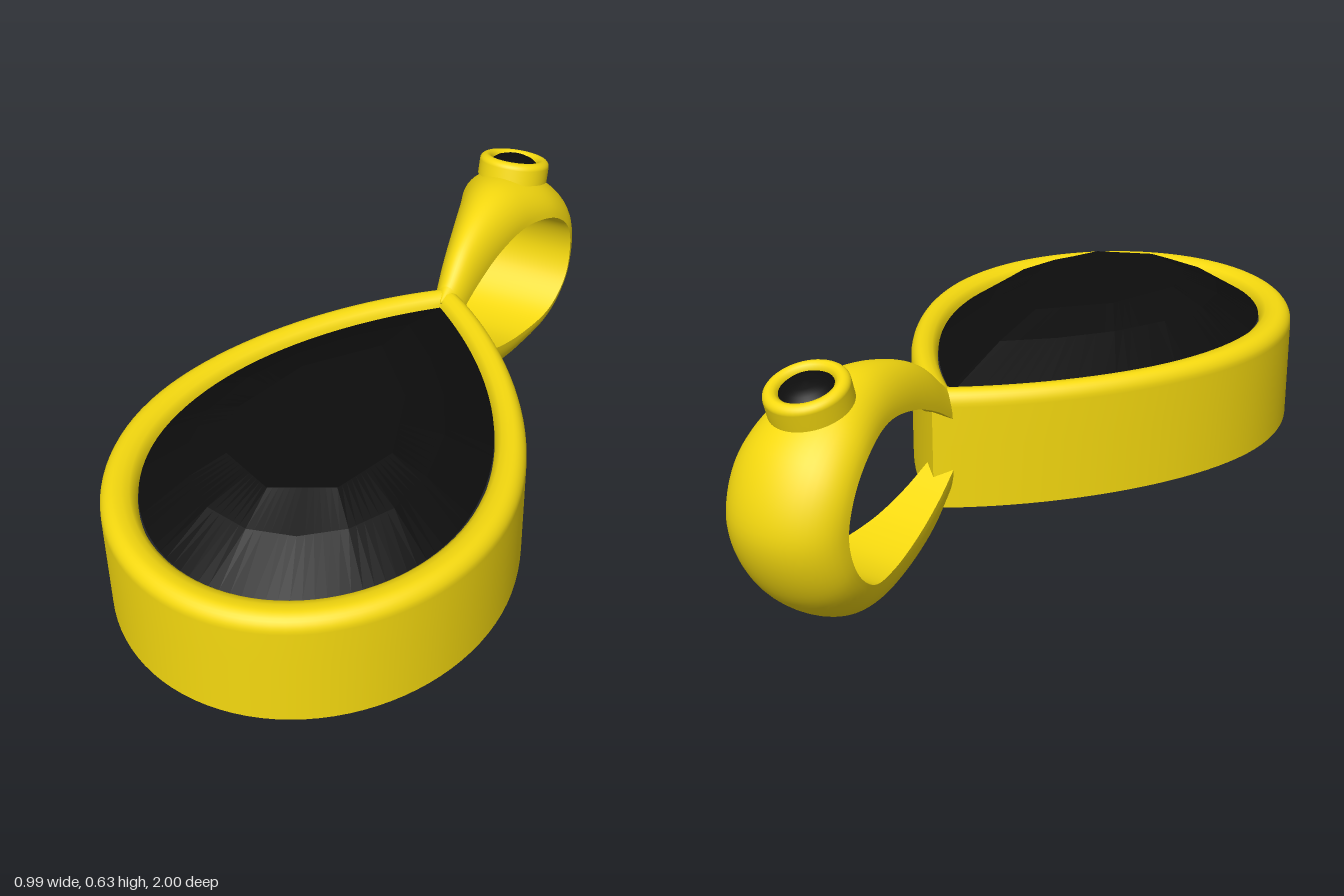
import * as THREE from 'three';

const gold = new THREE.MeshStandardMaterial({ color: 0xf5d90f });
const black = new THREE.MeshStandardMaterial({ color: 0x0d0d0d });
const blackFacets = new THREE.MeshStandardMaterial({ color: 0x0d0d0d, flatShading: true });

const N = 96; // columns round the teardrop

// Surface through rows of points; faces point along (row direction x column direction)
function loft(rows) {
  const cols = rows[0].length, index = [];
  for (let i = 0; i < rows.length - 1; i++) {
    for (let j = 0; j < cols - 1; j++) {
      const a = i * cols + j, b = a + cols;
      index.push(a, b, a + 1, a + 1, b, b + 1);
    }
  }
  const geometry = new THREE.BufferGeometry().setFromPoints(rows.flat());
  geometry.setIndex(index);
  geometry.computeVertexNormals();
  return geometry;
}

function addMesh(parent, name, geometry, material) {
  const mesh = new THREE.Mesh(geometry, material);
  mesh.name = name;
  parent.add(mesh);
  return mesh;
}

// Teardrop ring at height y, from the tip round the +x side and back; inset 0 = outer wall, 1 = stone edge
function teardrop(inset, y, n = N) {
  const tip = -0.37 + 0.08 * inset, w = 0.495 - 0.088 * inset, end = 1 - 0.09 * inset, mid = 0.45;
  const v = (x, z) => new THREE.Vector3(x, y, z);
  const back = new THREE.CubicBezierCurve3(v(0, tip), v(w * 0.5, tip + 0.17), v(w, 0.15), v(w, mid));
  const front = new THREE.CubicBezierCurve3(v(w, mid), v(w, mid + 0.55 * (end - mid)), v(w * 0.55, end), v(0, end));
  const half = [...back.getPoints(n / 4), ...front.getPoints(n / 4).slice(1)];
  const mirrored = half.slice(0, -1).reverse().map(p => v(-p.x, p.z));
  return [...half, ...mirrored];
}

// Stone ring with straight sides between its corners, shrunk toward the stone's centre
function stoneRing(corners, scale, y) {
  const base = teardrop(1, y, corners), step = N / corners, ring = [];
  for (let j = 0; j <= N; j++) {
    const k = Math.min(Math.floor(j / step), corners - 1);
    const p = base[k].clone().lerp(base[k + 1], j / step - k);
    p.x *= scale;
    p.z = 0.447 + (p.z - 0.447) * scale;
    ring.push(p);
  }
  return ring;
}

// Band that tapers along its length: domed outside, flat inside
function buildBail() {
  const midY = 0.302;
  // outer z, outer height, inner z, inner height, half width
  const upper = [
    [-0.335, 0.15, -0.335, 0.065, 0.04],
    [-0.42, 0.225, -0.42, 0.118, 0.055],
    [-0.53, 0.275, -0.53, 0.165, 0.075],
    [-0.67, 0.297, -0.66, 0.187, 0.105],
    [-0.82, 0.262, -0.78, 0.16, 0.145],
    [-0.94, 0.165, -0.855, 0.09, 0.163],
    [-1, 0, -0.88, 0, 0.165],
  ];
  const lower = upper.slice(0, -1).reverse().map(([a, b, c, d, w]) => [a, -b, c, -d, w]);
  const stations = [...upper, ...lower];
  const outer = new THREE.CatmullRomCurve3(stations.map(s => new THREE.Vector3(0, midY + s[1], s[0])));
  const inner = new THREE.CatmullRomCurve3(stations.map(s => new THREE.Vector3(s[4], midY + s[3], s[2])));
  const domeRows = [], flatRows = [], steps = 96, arc = 24;
  for (let i = 0; i <= steps; i++) {
    const o = outer.getPoint(i / steps), n = inner.getPoint(i / steps), w = n.x;
    const dome = [], flat = [];
    for (let j = 0; j <= arc; j++) {
      const a = Math.PI * j / arc, s = Math.sin(a);
      dome.push(new THREE.Vector3(w * Math.cos(a), n.y + (o.y - n.y) * s, n.z + (o.z - n.z) * s));
      flat.push(new THREE.Vector3(w * (2 * j / arc - 1), n.y, n.z));
    }
    domeRows.push(dome);
    flatRows.push(flat);
  }
  // close both ends inside the setting, with a crisp edge
  for (const rows of [domeRows, flatRows]) {
    const point = y => rows[0].map(() => new THREE.Vector3(0, y, -0.29));
    rows.unshift(point(midY + 0.125), rows[0]);
    rows.push(rows[rows.length - 1], point(midY - 0.125));
  }
  const bail = new THREE.Group();
  bail.name = 'bail';
  addMesh(bail, 'bailOutside', loft(domeRows), gold);
  addMesh(bail, 'bailInside', loft(flatRows), gold);
  return bail;
}

// Small round setting with a domed stone
function buildCollar() {
  const collar = new THREE.Group();
  collar.name = 'smallSetting';
  const profile = [[0.1, -0.06], [0.1, -0.018]];
  for (let i = 1; i <= 8; i++) {
    const a = Math.PI / 2 * i / 8;
    profile.push([0.08 + 0.02 * Math.cos(a), -0.018 + 0.018 * Math.sin(a)]);
  }
  profile.push([0.072, -0.003], [0.064, -0.012], [0.062, -0.03]);
  const v2 = list => list.map(([x, y]) => new THREE.Vector2(x, y));
  addMesh(collar, 'smallSettingRim', new THREE.LatheGeometry(v2(profile), 48), gold);
  addMesh(collar, 'smallSettingBase', new THREE.CircleGeometry(0.1, 48).rotateX(Math.PI / 2).translate(0, -0.06, 0), gold);
  const dome = [[0.065, -0.015], [0.05, -0.004], [0.03, 0.003], [0, 0.005]];
  addMesh(collar, 'smallStone', new THREE.LatheGeometry(v2(dome), 48), black);
  collar.position.set(0, 0.612, -0.815);
  collar.rotation.x = -0.29;
  return collar;
}

export function createModel() {
  const model = new THREE.Group();
  model.name = 'pendant';

  // Teardrop setting: straight wall, rounded rim, flat underside
  const wall = [teardrop(0, 0.13), teardrop(0, 0.3), teardrop(0, 0.4)];
  for (let i = 1; i <= 8; i++) {
    const a = Math.PI / 2 * i / 8;
    wall.push(teardrop(0.42 * (1 - Math.cos(a)), 0.402 + 0.038 * Math.sin(a)));
  }
  wall.push(teardrop(0.6, 0.439), teardrop(0.8, 0.432), teardrop(0.94, 0.42), teardrop(1, 0.4));
  addMesh(model, 'setting', loft(wall), gold);
  const floor = teardrop(0, 0.13);
  const floorCentre = floor.map(() => new THREE.Vector3(0, 0.13, 0.4));
  addMesh(model, 'settingUnderside', loft([floorCentre, floor]), gold);

  // Faceted main stone with a flat table
  const table = stoneRing(8, 0.5, 0.527);
  const centre = table.map(() => new THREE.Vector3(0, 0.527, 0.447));
  const stone = loft([teardrop(1.02, 0.412), stoneRing(16, 0.72, 0.487), table, centre]);
  addMesh(model, 'mainStone', stone, blackFacets);

  model.add(buildBail(), buildCollar());
  return model;
}
